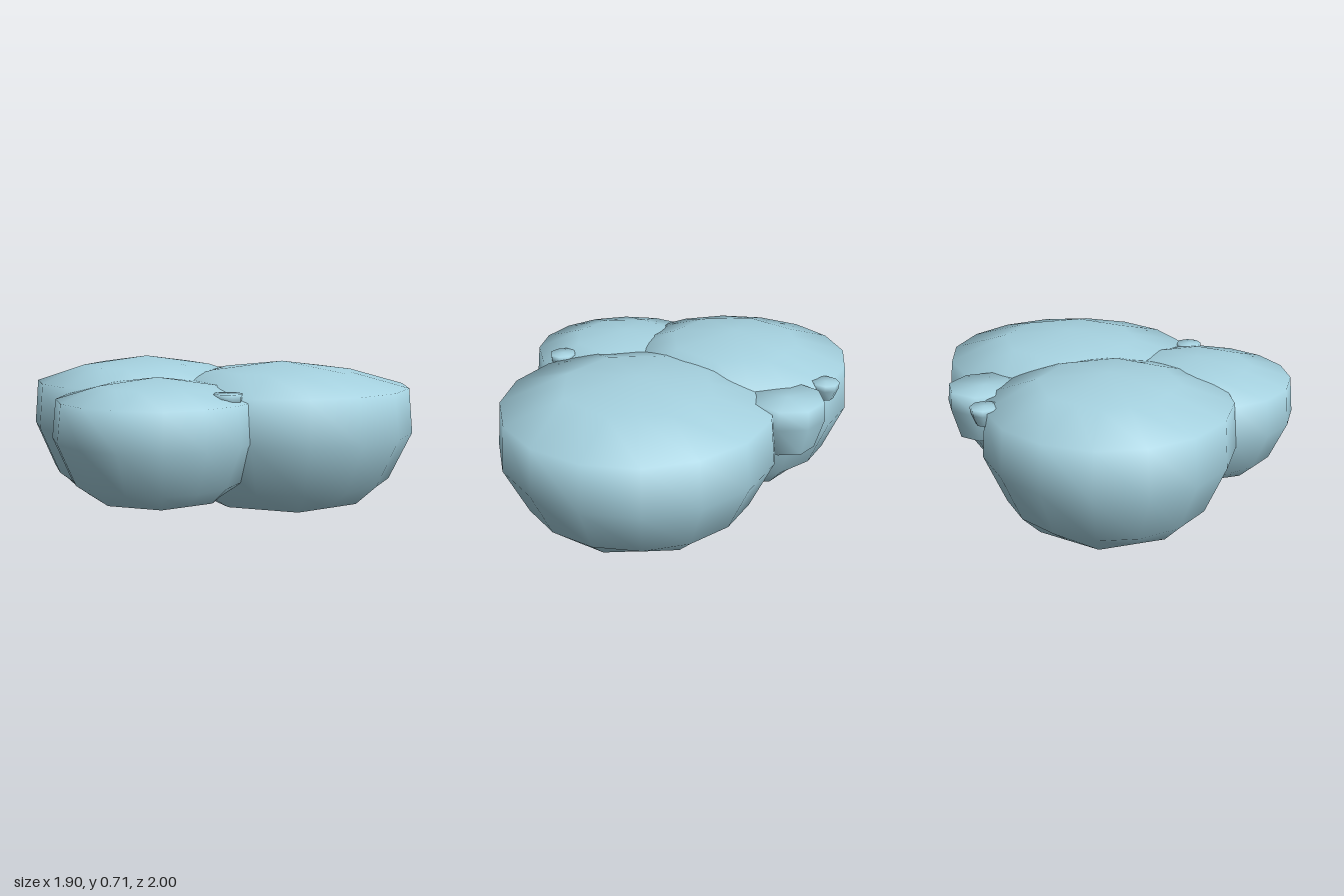
import * as THREE from 'three';
import { mergeVertices } from 'three/addons/utils/BufferGeometryUtils.js';

// Smooth open-bottomed lobe turned from [radius, height] pairs listed upwards.
// Rings named in coarseRings have half as many corners as the others.
function lobeGeometry(profile, sides, coarseRings = []) {
  const points = profile.map(([r, y]) => new THREE.Vector2(r, y));
  let geometry = new THREE.LatheGeometry(points, sides);
  const pos = geometry.attributes.position;
  const flatten = Math.cos(Math.PI * 2 / sides);
  for (let i = 1; i < sides; i += 2) {
    for (const ring of coarseRings) {
      const k = i * profile.length + ring;
      pos.setX(k, pos.getX(k) * flatten);
      pos.setZ(k, pos.getZ(k) * flatten);
    }
  }
  geometry.deleteAttribute('normal');
  geometry.deleteAttribute('uv');
  geometry = mergeVertices(geometry, 1e-4);
  geometry.computeVertexNormals();
  return geometry;
}

export function createModel() {
  const group = new THREE.Group();
  const paleBlue = new THREE.MeshStandardMaterial({ color: 0xa5d1df, side: THREE.DoubleSide });
  paleBlue.name = 'paleBlue';

  const add = (name, geometry, x, z, turn = 0) => {
    const mesh = new THREE.Mesh(geometry, paleBlue);
    mesh.name = name;
    mesh.position.set(x, 0, z);
    mesh.rotation.y = turn;
    group.add(mesh);
  };

  // Three large overlapping puffs
  add('frontPuff', lobeGeometry(
    [[0.46, 0], [0.57, 0.105], [0.68, 0.35], [0.657, 0.577], [0.37, 0.657], [0, 0.702]],
    16, [0, 4]), 0.27, 0.315);
  add('backPuff', lobeGeometry(
    [[0.42, 0], [0.515, 0.105], [0.617, 0.355], [0.597, 0.585], [0.345, 0.667], [0, 0.715]],
    16, [0, 4]), -0.03, -0.383);
  add('rightPuff', lobeGeometry(
    [[0.34, 0.088], [0.42, 0.167], [0.505, 0.37], [0.485, 0.555], [0.28, 0.615], [0, 0.655]],
    16, [0, 4]), -0.447, 0.08);

  // Medium puff in the crook between the front and back puffs
  add('mediumPuff', lobeGeometry(
    [[0.145, 0.36], [0.187, 0.51], [0.178, 0.6], [0, 0.602]], 8), 0.598, -0.318);

  // Two tiny puffs
  const tiny = lobeGeometry([[0.045, 0.515], [0.066, 0.57], [0.068, 0.6], [0, 0.602]], 8);
  add('tinyBackPuff', tiny, 0.527, -0.588, 0.15);
  add('tinyFrontPuff', tiny, -0.393, 0.467, 0.15);

  return group;
}
